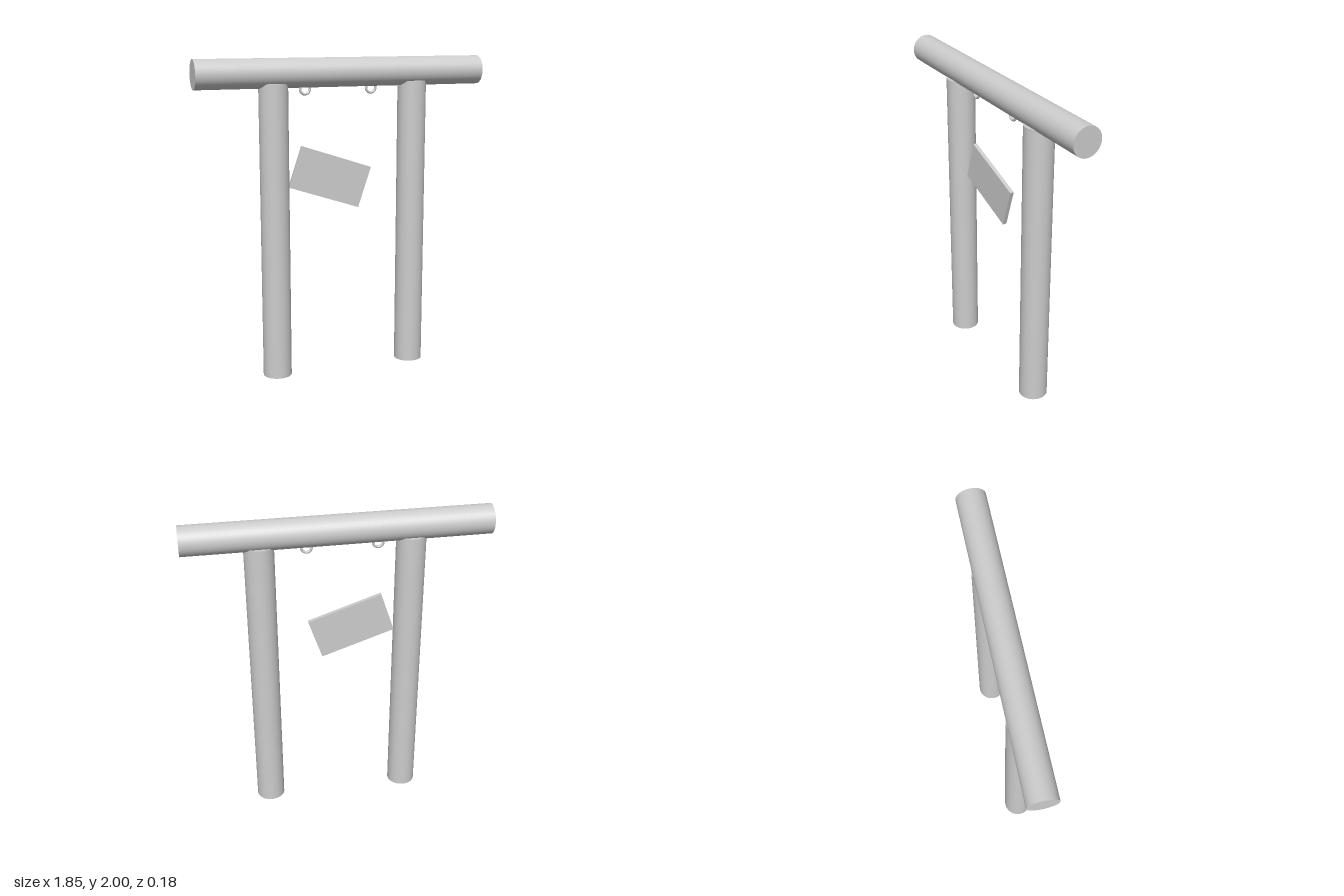
import * as THREE from 'three';

export function createModel() {
  const group = new THREE.Group();
  const grey = new THREE.MeshStandardMaterial({ color: 0xcccccc });
  grey.name = 'plain grey';

  const add = (name, geometry, x, y, z = 0) => {
    const mesh = new THREE.Mesh(geometry, grey);
    mesh.name = name;
    mesh.position.set(x, y, z);
    group.add(mesh);
    return mesh;
  };

  // Round crossbeam resting on the posts
  const beam = add('crossbeam', new THREE.CylinderGeometry(0.09, 0.09, 1.85, 48), 0, 1.91);
  beam.rotation.z = Math.PI / 2;

  // Two upright posts, sunk a little into the beam
  const postGeometry = new THREE.CylinderGeometry(0.09, 0.09, 1.85, 48);
  add('rightPost', postGeometry, -0.44, 0.925);
  add('leftPost', postGeometry, 0.47, 0.925);

  // Hanging rings half buried in the underside of the beam
  const ringGeometry = new THREE.TorusGeometry(0.031, 0.008, 12, 32);
  add('rightRing', ringGeometry, -0.24, 1.811);
  add('leftRing', ringGeometry, 0.19, 1.811);

  // Tilted sign board
  const board = add('signBoard', new THREE.BoxGeometry(0.48, 0.268, 0.025), -0.08, 1.26);
  board.rotation.z = -0.324;

  return group;
}
